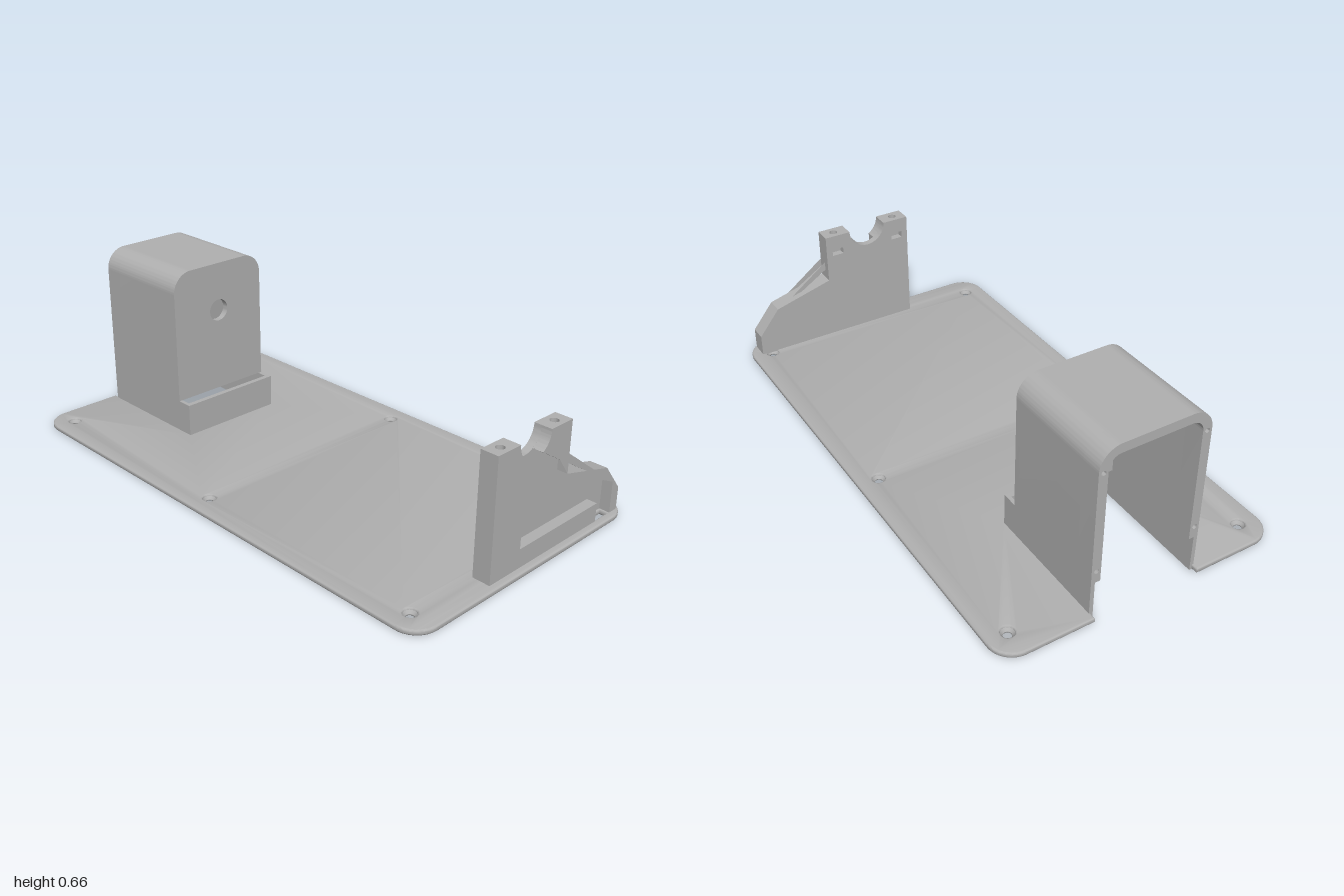
import * as THREE from 'three';
import { toCreasedNormals } from 'three/addons/utils/BufferGeometryUtils.js';

export function createModel() {
  const model = new THREE.Group();
  model.name = 'mountingPlateWithHousing';
  const grey = new THREE.MeshStandardMaterial({ color: 0xb0b0b0 });
  grey.name = 'plain grey';

  const add = (name, geometry, parent = model) => {
    const mesh = new THREE.Mesh(geometry, grey);
    mesh.name = name;
    parent.add(mesh);
    return mesh;
  };
  const group = (name) => {
    const g = new THREE.Group();
    g.name = name;
    model.add(g);
    return g;
  };
  const box = (name, x0, x1, y0, y1, z0, z1, parent) => {
    const geometry = new THREE.BoxGeometry(x1 - x0, y1 - y0, z1 - z0);
    geometry.translate((x0 + x1) / 2, (y0 + y1) / 2, (z0 + z1) / 2);
    return add(name, geometry, parent);
  };
  // Extrude an x-y shape between two z positions
  const slab = (shape, z0, z1) => {
    const geometry = new THREE.ExtrudeGeometry(shape, { depth: z1 - z0, bevelEnabled: false, curveSegments: 16 });
    geometry.translate(0, 0, z0);
    return toCreasedNormals(geometry, 0.6);
  };
  const polygon = (points) => new THREE.Path(points.map(([x, y]) => new THREE.Vector2(x, y)));
  const rect = (x0, x1, y0, y1) => polygon([[x0, y0], [x1, y0], [x1, y1], [x0, y1]]);
  const circle = (x, y, r) => new THREE.Path().absarc(x, y, r, 0, Math.PI * 2, true);

  // Base plate, drawn with shape y = -z, with a notch at the back
  const W = 0.545, R = 0.09, T = 0.02, bevel = 0.006, N = 0.204;
  const plate = new THREE.Shape();
  plate.moveTo(-W + R, -1);
  plate.lineTo(W - R, -1);
  plate.absarc(W - R, -1 + R, R, -Math.PI / 2, 0);
  plate.lineTo(W, 1 - R);
  plate.absarc(W - R, 1 - R, R, 0, Math.PI / 2);
  plate.lineTo(N, 1);
  plate.lineTo(N, 0.491);
  plate.lineTo(-N, 0.491);
  plate.lineTo(-N, 1);
  plate.lineTo(-W + R, 1);
  plate.absarc(-W + R, 1 - R, R, Math.PI / 2, Math.PI);
  plate.lineTo(-W, -1 + R);
  plate.absarc(-W + R, -1 + R, R, Math.PI, Math.PI * 1.5);

  const screwSpots = [];
  for (const x of [-0.465, 0.465]) for (const z of [-0.905, -0.05, 0.9]) screwSpots.push([x, z]);
  for (const [x, z] of screwSpots) plate.holes.push(circle(x, -z, 0.0235));
  plate.holes.push(rect(0.386, 0.459, -0.969, -0.941)); // cable exit

  const plateGeometry = new THREE.ExtrudeGeometry(plate, {
    depth: T - 2 * bevel, bevelThickness: bevel, bevelSize: bevel,
    bevelOffset: -bevel, bevelSegments: 3, curveSegments: 12,
  });
  plateGeometry.rotateX(-Math.PI / 2);
  plateGeometry.translate(0, bevel, 0);
  add('basePlate', toCreasedNormals(plateGeometry, 0.6));

  // Countersunk screw seats
  const seatProfile = [[0.0295, 0], [0.015, 0], [0.015, 0.004], [0.0295, T]];
  const seatGeometry = new THREE.LatheGeometry(seatProfile.map(([x, y]) => new THREE.Vector2(x, y)), 24);
  const seatMaterial = grey;
  seatMaterial.side = THREE.DoubleSide;
  for (const [x, z] of screwSpots) add('screwSeat', seatGeometry).position.set(x, 0, z);

  // Housing: arched shell, open at the back and the bottom
  const housing = group('housing');
  const arch = (path, w, top, r, bottom) => {
    path.moveTo(w, bottom);
    path.lineTo(w, top - r);
    path.absarc(w - r, top - r, r, 0, Math.PI / 2);
    path.lineTo(-w + r, top);
    path.absarc(-w + r, top - r, r, Math.PI / 2, Math.PI);
    path.lineTo(-w, bottom);
    return path;
  };
  const shellShape = () => {
    const shape = arch(new THREE.Shape(), 0.21, 0.66, 0.08, 0.145);
    const inner = arch(new THREE.Path(), 0.175, 0.625, 0.045, 0.145).getPoints(16).reverse();
    for (const p of inner) shape.lineTo(p.x, p.y);
    return shape;
  };
  const rim = shellShape();
  for (const x of [-0.192, 0.192]) for (const y of [0.19, 0.575]) rim.holes.push(circle(x, y, 0.009));
  add('rearRim', slab(rim, -0.975, -0.9), housing);
  add('shell', slab(shellShape(), -0.9, -0.57), housing);
  const face = arch(new THREE.Shape(), 0.21, 0.66, 0.08, 0.145);
  face.holes.push(circle(0, 0.47, 0.043));
  add('frontWall', slab(face, -0.57, -0.545), housing);

  // Thin skirt below the shell
  for (const s of [-1, 1]) {
    const a = s * 0.195, b = s * 0.21;
    box('skirtSide', Math.min(a, b), Math.max(a, b), 0, 0.145, -0.975, -0.485, housing);
  }
  box('skirtFront', -0.195, 0.195, 0, 0.145, -0.505, -0.485, housing);

  // Bracket: solid back layer and a front layer split by a cable channel
  const bracket = group('bracket');
  const zBack = 0.907, zMid = 0.935, zFront = 0.975;
  const cy = 0.47, cr = 0.078, foot = 0.017, cap = 0.415;
  const cut = Math.acos(0.04 / cr);
  const lines = (shape, points) => points.forEach(([x, y]) => shape.lineTo(x, y));
  const leftTop = [[-0.185, cap], [-0.09, cap], [-0.09, cy], [-cr, cy]];
  const rightSide = [[0.09, cy], [0.09, cap], [0.185, cap], [0.185, 0.275], [0.42, 0.21], [0.505, 0.105], [0.505, foot]];

  const back = new THREE.Shape();
  back.moveTo(-0.185, foot);
  lines(back, leftTop);
  back.absarc(0, cy, cr, Math.PI, Math.PI * 2);
  lines(back, rightSide);
  for (const x of [-0.135, 0.135]) back.holes.push(rect(x - 0.024, x + 0.024, 0.383, 0.41)); // nut slots
  add('bracketBack', slab(back, zBack, zMid), bracket);

  const left = new THREE.Shape();
  left.moveTo(-0.185, foot);
  lines(left, leftTop);
  left.absarc(0, cy, cr, Math.PI, Math.PI + cut);
  lines(left, [[-0.04, 0.09], [0.38, 0.09], [0.38, foot]]);
  add('bracketFrontLower', slab(left, zMid, zFront), bracket);

  const right = new THREE.Shape();
  right.moveTo(0.04, 0.14);
  right.absarc(0, cy, cr, Math.PI * 2 - cut, Math.PI * 2);
  lines(right, [...rightSide, [0.465, foot], [0.465, 0.14]]);
  add('bracketFrontUpper', slab(right, zMid, zFront), bracket);

  // Tower caps with vertical screw holes
  for (const s of [-1, 1]) {
    const x = s * 0.1375;
    const capShape = new THREE.Shape(rect(x - 0.0475, x + 0.0475, -zFront, -zBack).getPoints());
    capShape.holes.push(circle(s * 0.135, -0.941, 0.016));
    const capGeometry = slab(capShape, cap, cy);
    capGeometry.rotateX(-Math.PI / 2);
    add('towerCap', capGeometry, bracket);
  }

  return model;
}
